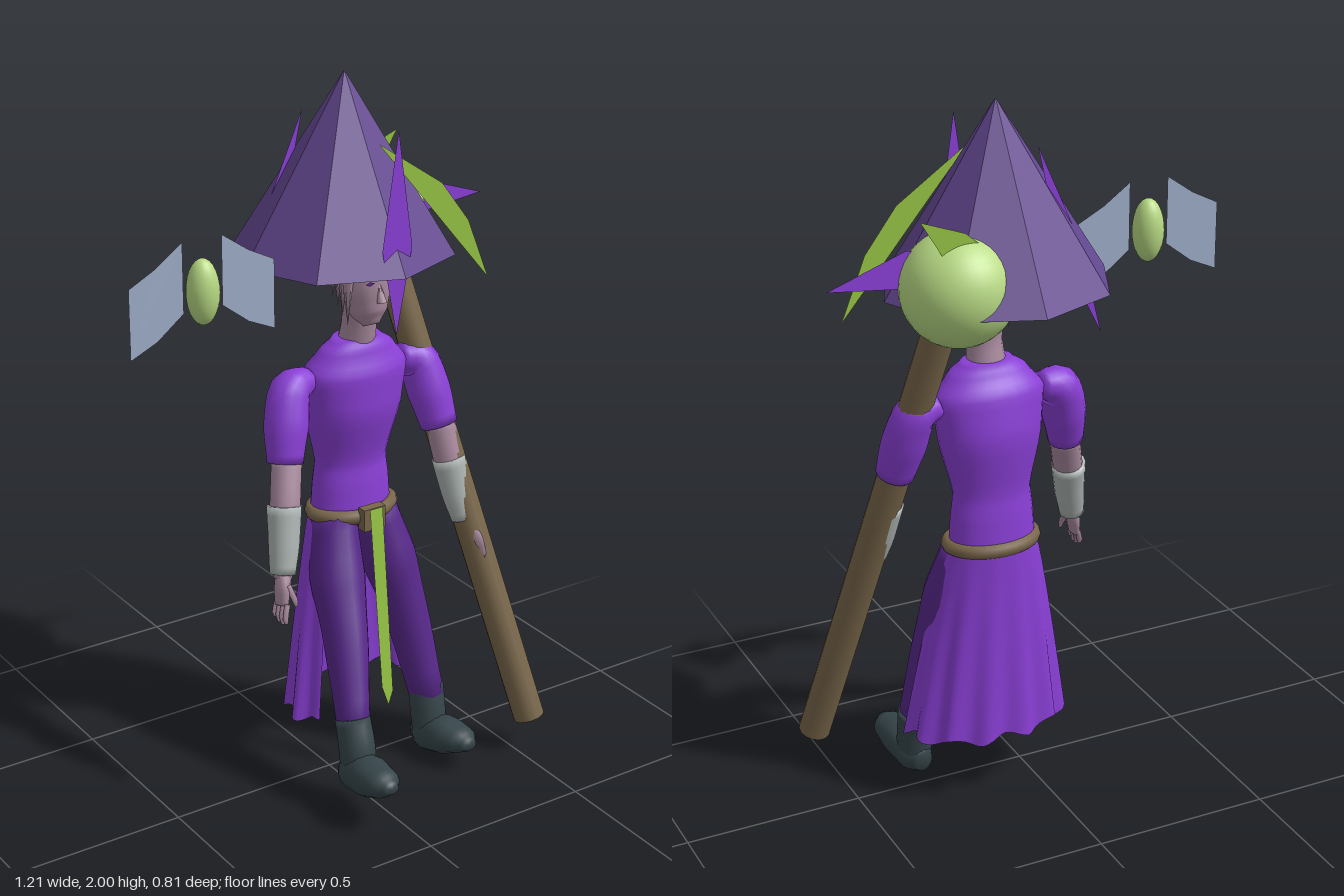
import * as THREE from 'three';

const mat = (name, color, opt = {}) => Object.assign(new THREE.MeshStandardMaterial({ color, ...opt }), { name });

export function createModel() {
  const group = new THREE.Group();
  const hatPurple = mat('hat purple', 0x644890, { flatShading: true });
  const dress = mat('dress purple', 0x8a3fd6, { side: THREE.DoubleSide });
  const pants = mat('dark purple', 0x57288a);
  const lime = mat('lime', 0x96c445, { side: THREE.DoubleSide });
  const orb = mat('pale green', 0xb8da84);
  const wood = mat('brown', 0x78664a);
  const leather = mat('boot slate', 0x36454a);
  const skin = mat('mauve skin', 0xa88a9e);
  const cloth = mat('pale grey', 0xacb4b2);
  const wing = mat('wing blue', 0x9eaec8, { side: THREE.DoubleSide });

  const add = (name, geo, material, x = 0, y = 0, z = 0) => {
    const m = new THREE.Mesh(geo, material);
    m.name = name;
    m.position.set(x, y, z);
    group.add(m);
    return m;
  };

  // Smooth closed loft through rows of [x, y, z, sideRadius, otherRadius]
  const limb = (name, rows, material, seg = 16, steps = 4) => {
    const path = new THREE.CatmullRomCurve3(rows.map(r => new THREE.Vector3(r[0], r[1], r[2])));
    const n = (rows.length - 1) * steps, pos = [], idx = [];
    for (let i = 0; i <= n; i++) {
      const c = path.getPoint(i / n), t = path.getTangent(i / n);
      const f = Math.min(i / steps, rows.length - 1.0001), k = Math.floor(f);
      const s = f - k, e = s * s * (3 - 2 * s);
      const r1 = THREE.MathUtils.lerp(rows[k][3], rows[k + 1][3], (s + e) / 2);
      const r2 = THREE.MathUtils.lerp(rows[k][4] ?? rows[k][3], rows[k + 1][4] ?? rows[k + 1][3], (s + e) / 2);
      const side = new THREE.Vector3(1, 0, 0).addScaledVector(t, -t.x).normalize();
      const up = t.clone().cross(side);
      for (let j = 0; j < seg; j++) {
        const a = j / seg * Math.PI * 2;
        const p = c.clone().addScaledVector(side, Math.cos(a) * r1).addScaledVector(up, Math.sin(a) * r2);
        pos.push(p.x, p.y, p.z);
        const b = i * seg + j, d = i * seg + (j + 1) % seg;
        if (i < n) idx.push(b, d, d + seg, b, d + seg, b + seg);
      }
    }
    const s0 = pos.length / 3, last = n * seg;
    pos.push(...rows[0].slice(0, 3), ...rows.at(-1).slice(0, 3));
    for (let j = 0; j < seg; j++) {
      const q = (j + 1) % seg;
      idx.push(s0, q, j, s0 + 1, last + j, last + q);
    }
    const g = new THREE.BufferGeometry();
    g.setAttribute('position', new THREE.Float32BufferAttribute(pos, 3));
    g.setIndex(idx);
    g.computeVertexNormals();
    return add(name, g, material);
  };

  // Flat plate facing z, from outline points
  const plate = (name, pts, z, material) =>
    add(name, new THREE.ShapeGeometry(new THREE.Shape(pts.map(p => new THREE.Vector2(...p)))), material, 0, 0, z);

  // Hat
  const hat = add('hat', new THREE.ConeGeometry(0.312, 0.49, 8), hatPurple, 0.125, 1.755, -0.12);
  hat.scale.z = 0.93;

  // Floating shards around the hat
  plate('frontShard', [[0.125, 1.9], [0.078, 1.58], [0.125, 1.34], [0.172, 1.58]], 0.13, dress);
  plate('longLimeShard', [[0.125, 1.84], [0.26, 1.68], [0.36, 1.56], [0.49, 1.405], [0.42, 1.58], [0.33, 1.7]], 0.04, lime);
  plate('sideShard', [[0.605, 1.575], [0.39, 1.65], [0.22, 1.63], [0.39, 1.55]], -0.155, dress);
  plate('smallLimeShard', [[0.4, 1.76], [0.28, 1.715], [0.18, 1.63], [0.34, 1.66]], -0.27, lime);
  plate('backShard', [[0.05, 1.89], [-0.07, 1.62], [-0.135, 1.36], [-0.015, 1.6]], -0.205, dress);

  // Staff and its orb
  const lo = new THREE.Vector3(0.535, 0.11, 0.235), hi = new THREE.Vector3(0.278, 1.5, -0.16);
  const staff = add('staff', new THREE.CylinderGeometry(0.045, 0.045, lo.distanceTo(hi), 14), wood);
  staff.position.copy(lo).lerp(hi, 0.5);
  staff.quaternion.setFromUnitVectors(new THREE.Vector3(0, 1, 0), hi.clone().sub(lo).normalize());
  add('staffOrb', new THREE.SphereGeometry(0.152, 32, 20), orb, 0.27, 1.55, -0.205);

  // Winged familiar
  add('familiarBody', new THREE.SphereGeometry(0.044, 20, 14), orb, -0.393, 1.533, 0.016).scale.y = 2.02;
  for (const s of [-1, 1]) {
    const x = d => -0.393 + s * d;
    plate('familiarWing', [[x(0.057), 1.675], [x(0.135), 1.62], [x(0.213), 1.58],
      [x(0.213), 1.39], [x(0.135), 1.425], [x(0.057), 1.485]], 0.016, wing);
  }

  // Head, neck and hair
  limb('neck', [[0.125, 1.25, -0.06, 0.055, 0.05], [0.125, 1.33, -0.045, 0.048, 0.048], [0.125, 1.42, -0.04, 0.055]], skin);
  limb('head', [[0.125, 1.335, 0.015, 0.022, 0.025], [0.125, 1.37, 0, 0.05, 0.055], [0.125, 1.44, -0.02, 0.072, 0.075],
    [0.125, 1.52, -0.04, 0.08, 0.09], [0.125, 1.6, -0.06, 0.05, 0.06]], skin);
  const nose = add('nose', new THREE.ConeGeometry(0.014, 0.06, 6), skin, 0.125, 1.44, 0.055);
  nose.rotation.x = -0.25;
  for (const s of [-1, 1]) {
    for (let i = 0; i < 4; i++) {
      const lock = add('hairLock', new THREE.ConeGeometry(0.024, 0.2, 6), skin,
        0.125 + s * (0.08 - i * 0.014), 1.45 + i * 0.01, 0.02 - i * 0.045);
      lock.rotation.x = Math.PI;
    }
    plate('eye', [-1, 1].flatMap(u => [[0.125 + s * 0.033 + u * 0.015, 1.467], [0.125 + s * 0.033, 1.467 + u * 0.006]]), 0.055, pants);
  }

  // Torso
  limb('torso', [[0.125, 0.74, -0.085, 0.125, 0.085], [0.125, 0.84, -0.085, 0.118, 0.078], [0.125, 0.92, -0.085, 0.11, 0.07],
    [0.125, 1.08, -0.075, 0.146, 0.102], [0.125, 1.19, -0.065, 0.16, 0.092], [0.125, 1.25, -0.06, 0.115, 0.065],
    [0.125, 1.285, -0.06, 0.07, 0.05]], dress, 24);

  // Belt, buckle and hanging sash
  const belt = add('belt', new THREE.TorusGeometry(0.12, 0.021, 10, 32), wood, 0.125, 0.77, -0.08);
  belt.rotation.x = Math.PI / 2;
  belt.scale.y = 0.72;
  add('buckle', new THREE.BoxGeometry(0.07, 0.065, 0.03), wood, 0.125, 0.77, 0.024);
  const sash = add('sash', new THREE.ShapeGeometry(new THREE.Shape([[-0.02, 0.29], [-0.018, -0.24], [0, -0.3], [0.018, -0.26], [0.022, 0.29]]
    .map(p => new THREE.Vector2(...p)))), lime, 0.125, 0.515, 0.078);
  sash.rotation.x = -0.12;

  // Pleated skirt, open at the front
  const U = 72, V = 12, skirt = new THREE.PlaneGeometry(1, 1, U, V), sp = skirt.attributes.position;
  for (let i = 0; i < sp.count; i++) {
    const u = sp.getX(i) + 0.5, v = 0.5 - sp.getY(i);
    const a = 0.95 + u * (Math.PI * 2 - 1.9), f = Math.pow(v, 0.8);
    const pleat = 1 + 0.05 * v * Math.cos(a * 13);
    sp.setXYZ(i, 0.125 + Math.sin(a) * (0.125 + 0.105 * f) * pleat,
      0.77 - v * (0.575 + 0.012 * Math.cos(a * 9)),
      -0.085 + 0.055 * f + Math.cos(a) * (0.09 + 0.055 * f) * pleat);
  }
  skirt.computeVertexNormals();
  add('skirt', skirt, dress);

  // Legs in mid-stride
  limb('rightLeg', [[0.058, 0.75, -0.07, 0.065, 0.075], [0.03, 0.6, -0.005, 0.078, 0.08], [0.005, 0.47, 0.07, 0.064, 0.068],
    [-0.045, 0.24, 0.19, 0.046, 0.05]], pants);
  limb('leftLeg', [[0.192, 0.75, -0.07, 0.065, 0.075], [0.225, 0.6, -0.04, 0.078, 0.085], [0.255, 0.46, -0.005, 0.064, 0.07],
    [0.295, 0.18, 0.06, 0.05, 0.055]], pants);

  // Boots
  limb('rightBootShaft', [[-0.045, 0.265, 0.185, 0.05], [-0.05, 0.19, 0.215, 0.052], [-0.052, 0.12, 0.225, 0.05]], leather);
  limb('rightFoot', [[-0.05, 0.115, 0.165, 0.025], [-0.053, 0.118, 0.21, 0.054, 0.058], [-0.057, 0.135, 0.29, 0.06, 0.058],
    [-0.06, 0.148, 0.36, 0.05, 0.04], [-0.06, 0.153, 0.402, 0.02, 0.016]], leather);
  limb('leftBootShaft', [[0.295, 0.21, 0.055, 0.052], [0.293, 0.14, 0.07, 0.052], [0.295, 0.06, 0.08, 0.05]], leather);
  limb('leftFoot', [[0.285, 0.05, 0.028, 0.026, 0.035], [0.293, 0.058, 0.07, 0.054, 0.055], [0.305, 0.078, 0.145, 0.06, 0.056],
    [0.315, 0.086, 0.205, 0.05, 0.038], [0.317, 0.088, 0.246, 0.022, 0.018]], leather);

  // Right arm hanging free
  limb('rightSleeve', [[-0.02, 1.185, -0.07, 0.035], [-0.085, 1.165, -0.06, 0.058], [-0.115, 1.08, -0.035, 0.062], [-0.135, 0.985, -0.01, 0.05]], dress);
  limb('rightForearm', [[-0.13, 1.0, -0.01, 0.042], [-0.165, 0.88, 0.035, 0.042], [-0.205, 0.7, 0.085, 0.026]], skin);
  limb('rightBracer', [[-0.168, 0.885, 0.035, 0.048], [-0.185, 0.79, 0.06, 0.043], [-0.203, 0.71, 0.08, 0.036]], cloth);
  limb('rightPalm', [[-0.203, 0.715, 0.085, 0.022], [-0.216, 0.675, 0.098, 0.018, 0.032], [-0.225, 0.635, 0.11, 0.014, 0.03]], skin, 10);
  for (let i = 0; i < 4; i++) {
    limb('rightFinger', [[-0.222, 0.645, 0.085 + i * 0.016, 0.009], [-0.235, 0.61, 0.09 + i * 0.018, 0.009],
      [-0.234, 0.585 + 0.008 * Math.abs(i - 1.5), 0.094 + i * 0.018, 0.005]], skin, 6, 2);
  }
  limb('rightThumb', [[-0.21, 0.69, 0.115, 0.011], [-0.2, 0.655, 0.135, 0.009], [-0.197, 0.635, 0.138, 0.005]], skin, 6, 2);

  // Left arm gripping the staff
  limb('leftSleeve', [[0.27, 1.185, -0.07, 0.035], [0.33, 1.165, -0.065, 0.058], [0.355, 1.08, -0.04, 0.062], [0.372, 0.98, -0.01, 0.053]], dress);
  limb('leftForearm', [[0.37, 1.0, -0.01, 0.042], [0.385, 0.88, 0.02, 0.042], [0.412, 0.7, 0.07, 0.026]], skin);
  limb('leftBracer', [[0.385, 0.885, 0.02, 0.048], [0.397, 0.79, 0.042, 0.043], [0.41, 0.71, 0.065, 0.036]], cloth);
  limb('leftPalm', [[0.412, 0.71, 0.07, 0.022], [0.425, 0.65, 0.095, 0.018, 0.042], [0.437, 0.6, 0.11, 0.012, 0.03]], skin, 10);

  return group;
}
